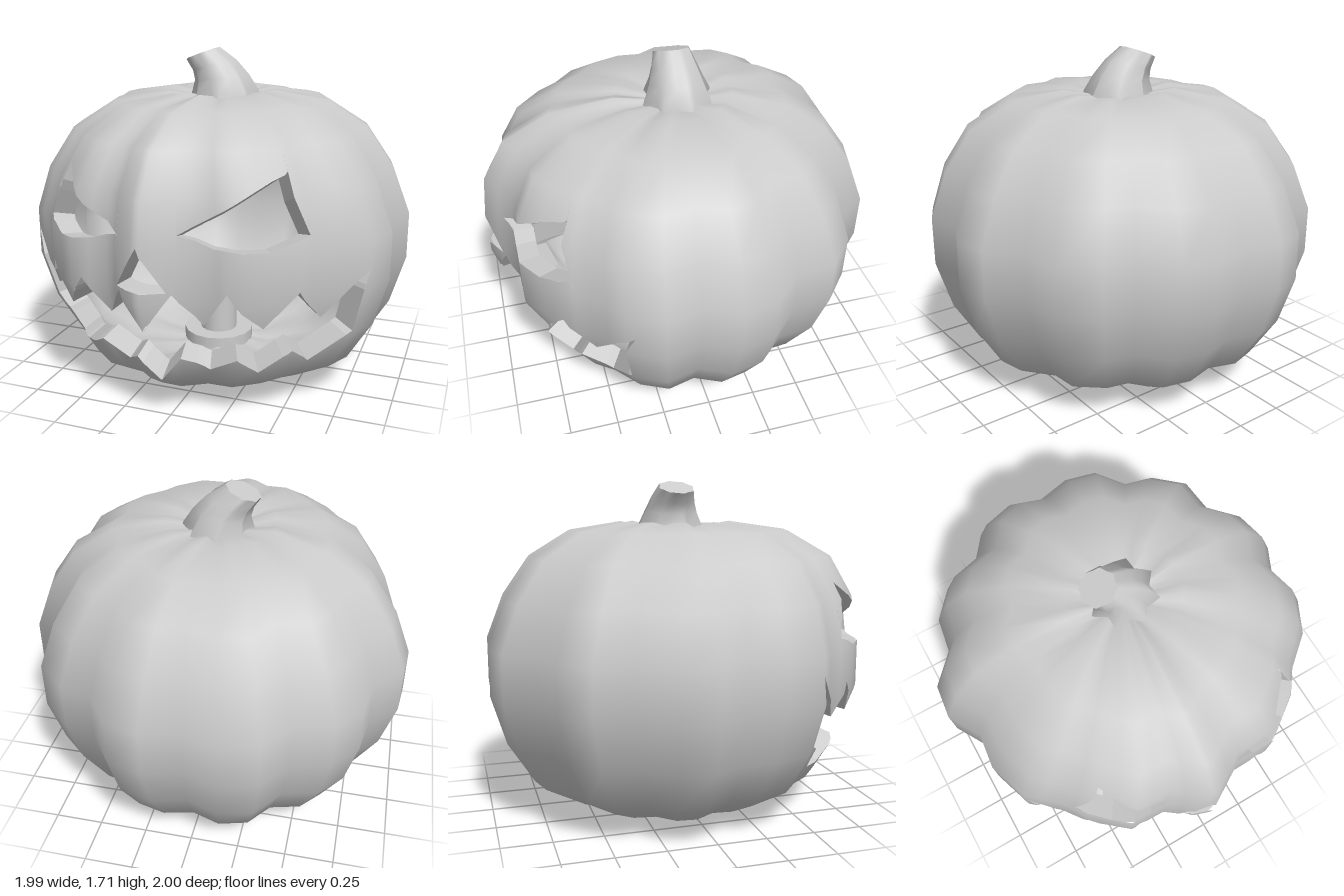
import * as THREE from 'three';

// Outline seen from above: 11 ribs of 3 segments, from the back round by the right, front and left
const OUTLINE = [
  [-.02, -.94], [-.2, -1], [-.38, -.95], [-.5, -.79], [-.69, -.74], [-.81, -.6], [-.84, -.41], [-.98, -.26], [-1, -.08],
  [-.9, .09], [-.92, .27], [-.85, .48], [-.71, .6], [-.62, .72], [-.44, .87], [-.25, .875], [-.12, .97], [-.03, 1],
  [.18, .875], [.4, .87], [.62, .71], [.71, .59], [.87, .455], [.955, .28], [.91, .1], [.99, -.07], [.95, -.25],
  [.81, -.4], [.79, -.6], [.63, -.74], [.47, -.78], [.35, -.94], [.17, -.985],
];
// Side profile from bottom to top: [radius factor, height, fullness of the front]
const PROFILE = [
  [0, .03, 1], [.3, 0, 1], [.57, .06, 1], [.79, .19, 1], [.925, .41, 1], [1, .66, 1], [1, .9, 1],
  [.91, 1.13, 1.07], [.77, 1.33, 1.12], [.56, 1.46, 1.12], [.29, 1.505, 1.05], [.12, 1.475, 1], [0, 1.45, 1],
];
// Carved openings in front projection
const HOLES = {
  mouth: [
    [-.85, .81], [-.755, .44], [-.655, .395], [-.58, .28], [-.5, .28], [-.335, .37], [-.22, .26], [-.13, .33], [-.02, .21],
    [.085, .345], [.2, .27], [.35, .36], [.415, .255], [.57, .38], [.61, .27], [.81, .43],
    [.89, .77], [.685, .54], [.62, .705], [.47, .535], [.33, .715], [.21, .54], [.09, .705], [-.04, .52], [-.16, .705],
    [-.25, .55], [-.39, .71], [-.49, .54], [-.617, .72], [-.665, .56],
  ],
  nose: [[-.175, .72], [.07, .715], [-.05, .925]],
  rightEye: [[-.645, .945], [-.52, .89], [-.33, .91], [-.17, .96], [-.37, 1.06], [-.52, 1.21]],
  leftEye: [[.11, .975], [.27, .92], [.51, .905], [.645, .96], [.53, 1.235], [.31, 1.09]],
};
const N = OUTLINE.length, M = PROFILE.length - 1;
const CENTRE = new THREE.Vector3(0, .75, 0), INNER = .885;
const material = new THREE.MeshStandardMaterial({ color: 0xcccccc });
const lerp = THREE.MathUtils.lerp, clamp = THREE.MathUtils.clamp;
const round = (n) => Math.round(n * 1e5) / 1e5;

// Point on the skin: u runs round the outline, v up the profile
function skin(u, v) {
  u = (u + N) % N;
  const i = Math.floor(u), j = Math.min(Math.floor(v), M - 1);
  const a = OUTLINE[i], b = OUTLINE[(i + 1) % N];
  const x = lerp(a[0], b[0], u - i), z = lerp(a[1], b[1], u - i);
  const [r, y, full] = PROFILE[j].map((p, k) => lerp(p, PROFILE[j + 1][k], v - j));
  const dip = Math.max(0, 1 - Math.hypot(x, z)) * 3 * r * Math.max(0, .56 - r);
  return new THREE.Vector3(x * r, y + (y > .7 ? -dip : dip), z * r * (z > 0 ? full : 1));
}
const lining = (u, v) => skin(u, v).sub(CENTRE).multiplyScalar(INNER).add(CENTRE);

function skinNormal(u, v) {
  const w = clamp(v, .5, M - .5);
  const du = skin(u + .5, w).sub(skin(u - .5, w));
  return du.cross(skin(u, w + .5).sub(skin(u, w - .5))).normalize();
}

// Front-projected point to skin coordinates
function toSkin([x, y]) {
  let j = 1;
  while (y > PROFILE[j + 1][1]) j++;
  const t = (y - PROFILE[j][1]) / (PROFILE[j + 1][1] - PROFILE[j][1]);
  const s = x / lerp(PROFILE[j][0], PROFILE[j + 1][0], t);
  let i = 10;
  while (i < 22 && s > OUTLINE[i + 1][0]) i++;
  return [round(i + (s - OUTLINE[i][0]) / (OUTLINE[i + 1][0] - OUTLINE[i][0])), round(j + t)];
}

// Opening outline as short segments, split where it crosses a profile ring
function holeSegments(points) {
  const segments = [];
  points.forEach((a, k) => {
    const b = points[(k + 1) % points.length];
    const cuts = [0, .25, .5, .75, 1];
    for (const [, y] of PROFILE.slice(1, 11)) {
      const t = (y - a[1]) / (b[1] - a[1]);
      if (t > .001 && t < .999) cuts.push(t);
    }
    cuts.sort((m, n) => m - n);
    const line = cuts.map((t) => toSkin([lerp(a[0], b[0], t), lerp(a[1], b[1], t)]));
    for (let n = 1; n < line.length; n++) segments.push([line[n - 1], line[n]]);
  });
  return segments;
}

function makeMesh(name, positions, normals) {
  const geometry = new THREE.BufferGeometry();
  geometry.setAttribute('position', new THREE.Float32BufferAttribute(positions, 3));
  if (normals) geometry.setAttribute('normal', new THREE.Float32BufferAttribute(normals, 3));
  else geometry.computeVertexNormals();
  const mesh = new THREE.Mesh(geometry, material);
  mesh.name = name;
  return mesh;
}

// Skin or lining, swept in narrow strips that stop at the openings
function makeShell(name, segments, inside) {
  const positions = [], normals = [];
  const add = (u, v) => {
    positions.push(...(inside ? lining : skin)(u, v).toArray());
    normals.push(...skinNormal(u, v).multiplyScalar(inside ? -1 : 1).toArray());
  };
  const breaks = new Set(Array.from({ length: N + 1 }, (_, i) => i));
  segments.forEach(([a, b]) => breaks.add(a[0]).add(b[0]));
  const us = [...breaks].sort((a, b) => a - b);
  for (let s = 0; s < us.length - 1; s++) {
    const u0 = us[s], u1 = us[s + 1];
    const edges = [[0, 0]];
    for (const [a, b] of segments) {
      if (a[0] === b[0] || Math.min(a[0], b[0]) > u0 || Math.max(a[0], b[0]) < u1) continue;
      edges.push([u0, u1].map((u) => lerp(a[1], b[1], (u - a[0]) / (b[0] - a[0]))));
    }
    edges.push([M, M]);
    edges.sort((a, b) => a[0] + a[1] - b[0] - b[1]);
    for (let e = 0; e < edges.length; e += 2) {
      for (let k = 0; k < M; k++) {
        const [a0, a1] = edges[e].map((v) => clamp(v, k, k + 1));
        const [b0, b1] = edges[e + 1].map((v) => clamp(v, k, k + 1));
        if (b0 - a0 + b1 - a1 < 1e-6) continue;
        const quad = [[u0, a0], [u1, a1], [u1, b1], [u0, b0]];
        for (const c of inside ? [0, 2, 1, 0, 3, 2] : [0, 1, 2, 0, 2, 3]) add(...quad[c]);
      }
    }
  }
  return makeMesh(name, positions, normals);
}

// Cut faces joining skin and lining round one opening
function makeWall(name, segments) {
  const positions = [];
  for (const [a, b] of segments) {
    const q = [skin(...a), skin(...b), lining(...b), lining(...a)];
    for (const c of [0, 1, 2, 0, 2, 3]) positions.push(...q[c].toArray());
  }
  return makeMesh(name, positions);
}

// Bent, ridged stalk from star-shaped rings: [centre x, y, radius, tilt, groove depth]
function makeStem() {
  const rings = [[.01, 1.43, .195, 0, .28], [.01, 1.49, .178, .03, .26], [-.01, 1.56, .145, .12, .22],
    [-.05, 1.62, .12, .25, .17], [-.115, 1.68, .095, .36, .1]];
  const sides = 16, positions = [], index = [];
  for (const [cx, cy, radius, tilt, groove] of rings) {
    for (let i = 0; i < sides; i++) {
      const a = (i / sides) * Math.PI * 2 + .15, r = radius * (i % 2 ? 1 - groove : 1);
      const x = Math.sin(a) * r;
      positions.push(cx + x * Math.cos(tilt), cy + x * Math.sin(tilt), Math.cos(a) * r - .02);
    }
  }
  for (let k = 0; k < rings.length - 1; k++) {
    for (let i = 0; i < sides; i++) {
      const a = k * sides + i, b = k * sides + (i + 1) % sides;
      index.push(a, b, b + sides, a, b + sides, a + sides);
    }
  }
  const geometry = new THREE.BufferGeometry();
  geometry.setAttribute('position', new THREE.Float32BufferAttribute(positions, 3));
  geometry.setIndex(index);
  geometry.computeVertexNormals();
  const stalk = new THREE.Mesh(geometry, material);
  stalk.name = 'stemStalk';
  // Flat cut end
  const [cx, cy] = rings[4], top = positions.slice(-sides * 3), cap = [];
  for (let i = 0; i < sides; i++) {
    const n = (i + 1) % sides;
    cap.push(cx, cy, -.02, ...top.slice(i * 3, i * 3 + 3), ...top.slice(n * 3, n * 3 + 3));
  }
  const stem = new THREE.Group();
  stem.name = 'stem';
  stem.add(stalk, makeMesh('stemEnd', cap));
  return stem;
}

export function createModel() {
  const model = new THREE.Group();
  model.name = 'carvedPumpkin';
  const all = [];
  for (const [name, points] of Object.entries(HOLES)) {
    const segments = holeSegments(points);
    all.push(...segments);
    model.add(makeWall(name + 'Wall', segments));
  }
  model.add(makeShell('outerSkin', all, false), makeShell('innerLining', all, true), makeStem());

  // Candle on a low dish inside
  for (const [name, radius, bottom, top] of [['candle', .1, .1, .4], ['candleDish', .19, .09, .16]]) {
    const mesh = new THREE.Mesh(new THREE.CylinderGeometry(radius, radius, top - bottom, 16), material);
    mesh.name = name;
    mesh.position.set(-.02, (top + bottom) / 2, 0);
    model.add(mesh);
  }
  return model;
}
